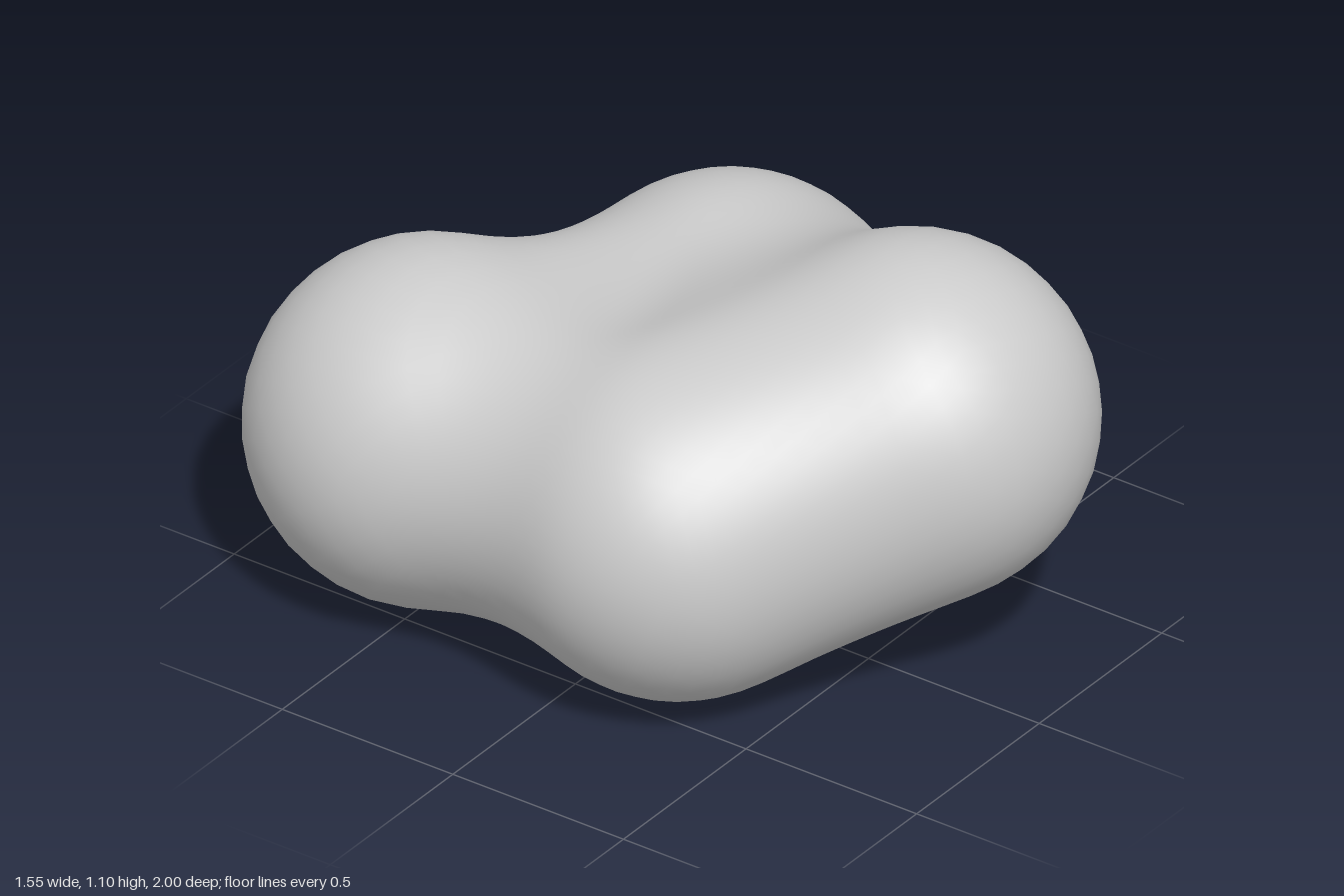
import * as THREE from 'three';
import { mergeVertices } from 'three/addons/utils/BufferGeometryUtils.js';

// Centres of the four equal balls that melt into one another
const BALLS = [
  [-0.325, 0.455, -0.55],
  [0.32, 0.46, -0.135],
  [0.11, 0.65, 0.55],
  [-0.325, 0.46, 0.175],
].map((c) => new THREE.Vector3(...c));
const REACH = 0.785;
const THRESHOLD = 0.3;

// Summed soft falloff of all balls
function field(p) {
  let sum = 0;
  for (const c of BALLS) {
    const t = 1 - p.distanceToSquared(c) / (REACH * REACH);
    if (t > 0) sum += t ** 3;
  }
  return sum;
}

// Outermost distance along a direction at which the field meets the threshold
function surfaceDistance(origin, dir) {
  const p = new THREE.Vector3();
  const inside = (t) => field(p.copy(origin).addScaledVector(dir, t)) > THRESHOLD;
  let t = 1.4;
  while (t > 0 && !inside(t)) t -= 0.02;
  let lo = t, hi = t + 0.02;
  for (let i = 0; i < 16; i++) {
    const mid = (lo + hi) / 2;
    if (inside(mid)) lo = mid; else hi = mid;
  }
  return lo;
}

export function createModel() {
  const group = new THREE.Group();
  group.name = 'blob';

  // Sphere pushed out onto the blended surface
  let geo = new THREE.IcosahedronGeometry(1, 15);
  geo.deleteAttribute('uv');
  geo.deleteAttribute('normal');
  geo = mergeVertices(geo, 1e-4);
  const origin = new THREE.Vector3(-0.04, 0.5, 0);
  const pos = geo.attributes.position;
  const dir = new THREE.Vector3();
  for (let i = 0; i < pos.count; i++) {
    dir.fromBufferAttribute(pos, i).normalize();
    const d = surfaceDistance(origin, dir);
    dir.multiplyScalar(d).add(origin);
    pos.setXYZ(i, dir.x, dir.y, dir.z);
  }
  geo.computeVertexNormals();

  const body = new THREE.Mesh(geo, new THREE.MeshStandardMaterial({ color: 0xcccccc }));
  body.name = 'blendedBody';
  group.add(body);
  return group;
}
